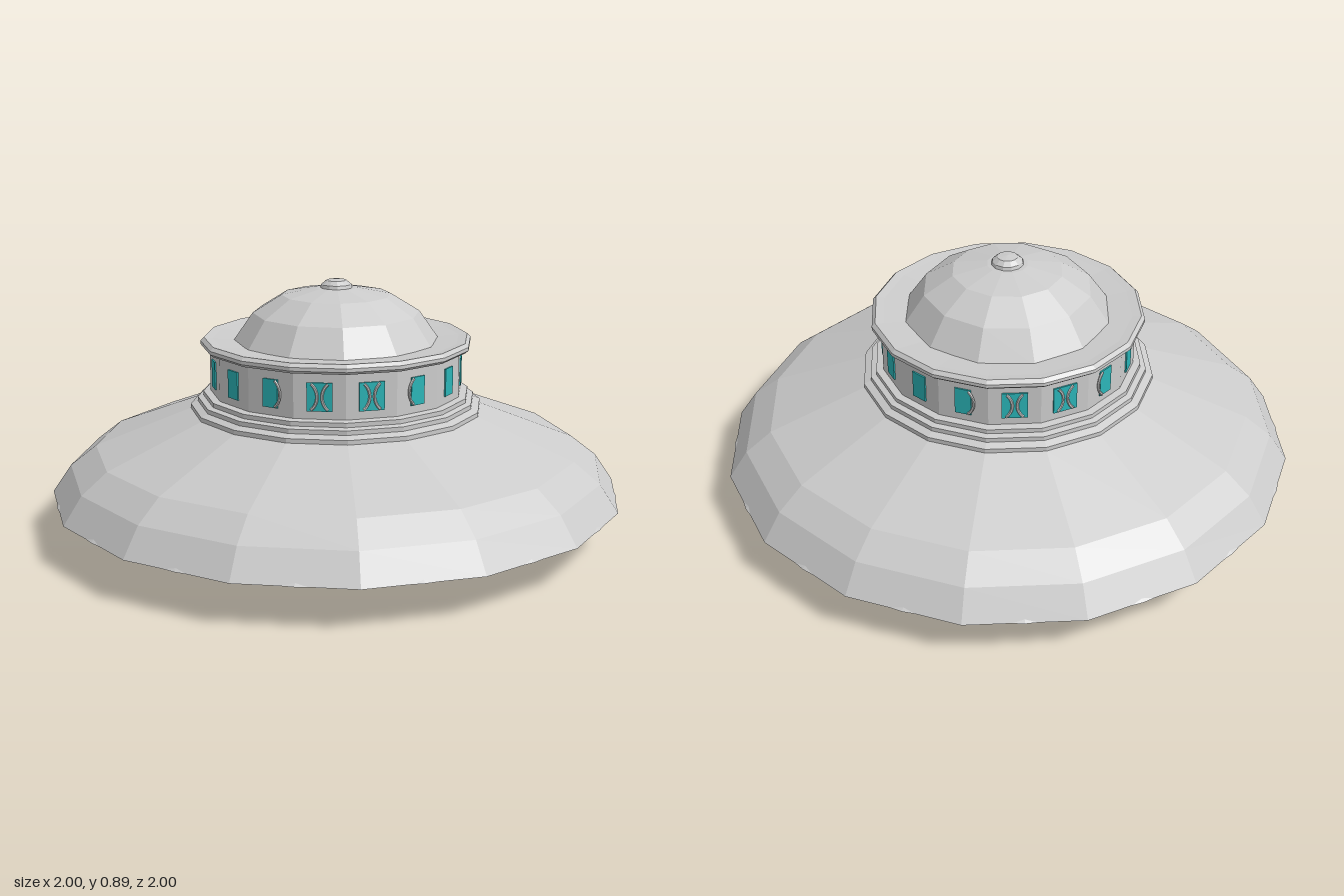
import * as THREE from 'three';

export function createModel() {
  const saucer = new THREE.Group();
  saucer.name = 'flyingSaucer';

  const grey = new THREE.MeshStandardMaterial({ color: 0xcccccc, flatShading: true, side: THREE.DoubleSide });
  const teal = new THREE.MeshStandardMaterial({ color: 0x2bb5b8, flatShading: true });

  const add = (name, geometry, material = grey, parent = saucer) => {
    const mesh = new THREE.Mesh(geometry, material);
    mesh.name = name;
    parent.add(mesh);
    return mesh;
  };
  // Revolve a profile of [radius, height] pairs, listed from bottom to top
  const lathe = (name, profile, sides) =>
    add(name, new THREE.LatheGeometry(profile.map(([r, y]) => new THREE.Vector2(r, y)), sides));

  // Wide skirt and its hollow underside
  lathe('hull', [[0.985, 0.145], [1, 0.145], [0.935, 0.24], [0.845, 0.31], [0.51, 0.44], [0.46, 0.45]], 16);
  lathe('hullUnderside',
    [[0.56, 0.3], [0.64, 0.305], [0.72, 0.295], [0.8, 0.27], [0.88, 0.23], [0.94, 0.185], [0.985, 0.145]], 32);

  // Stepped base, cabin wall and collar
  lathe('cabinSteps', [[0.51, 0.435], [0.51, 0.455], [0.485, 0.465], [0.485, 0.48], [0.465, 0.485],
    [0.465, 0.5], [0.43, 0.505]], 16);
  lathe('cabinWall', [[0.44, 0.49], [0.44, 0.67]], 16);
  lathe('cabinCollar', [[0.43, 0.655], [0.46, 0.658], [0.472, 0.668], [0.472, 0.68], [0.46, 0.692],
    [0.43, 0.688], [0.34, 0.68]], 16);

  // Dome with a knob on top
  lathe('dome', [[0.36, 0.675], [0.29, 0.775], [0.19, 0.837], [0.07, 0.86], [0, 0.862]], 12);
  lathe('domeKnob', [[0.057, 0.855], [0.052, 0.872], [0.035, 0.886], [0, 0.89]], 12);

  // Underside drum and central hub
  lathe('drum', [[0, 0.145], [0.57, 0.145], [0.57, 0.305]], 16);
  lathe('hub', [[0, 0.008], [0.19, 0.068], [0.19, 0.15]], 14);

  // Three landing spheres
  for (let i = 0; i < 3; i++) {
    const angle = Math.PI / 3 + (i * Math.PI * 2) / 3;
    add('landingSphere', new THREE.SphereGeometry(0.125, 24, 16), teal)
      .position.set(Math.cos(angle) * 0.388, 0.128, Math.sin(angle) * 0.388);
  }

  // One window on each cabin face, with curved frame pieces towards front and back
  const wallRadius = 0.44 * Math.cos(Math.PI / 16);
  const arcSpan = 1.7;
  const arcGeometry = new THREE.TorusGeometry(0.058, 0.005, 6, 10, arcSpan);
  arcGeometry.rotateZ(-arcSpan / 2);
  for (let i = 0; i < 16; i++) {
    const angle = ((i + 0.5) * Math.PI) / 8;
    const windowGroup = new THREE.Group();
    windowGroup.name = 'window';
    windowGroup.position.set(Math.sin(angle) * wallRadius, 0.578, Math.cos(angle) * wallRadius);
    windowGroup.rotation.y = angle;
    saucer.add(windowGroup);

    const nearAxis = Math.abs(Math.cos(angle));
    const facing = nearAxis > 0.9;
    add('windowPane', new THREE.BoxGeometry(facing ? 0.085 : 0.056, 0.095, 0.01), teal, windowGroup);

    const addArc = (side, x) => {
      const arc = add('windowFrameArc', arcGeometry, grey, windowGroup);
      arc.position.set(x, 0, 0.005);
      if (side < 0) arc.rotation.z = Math.PI;
    };
    if (facing) {
      addArc(1, -0.066);
      addArc(-1, 0.066);
    } else if (nearAxis > 0.8) {
      // Single arc on the side closest to the front or back
      const side = Math.sign(Math.sin(angle) * Math.cos(angle));
      addArc(-side, side > 0 ? 0.02 : -0.02);
    }
  }

  return saucer;
}
